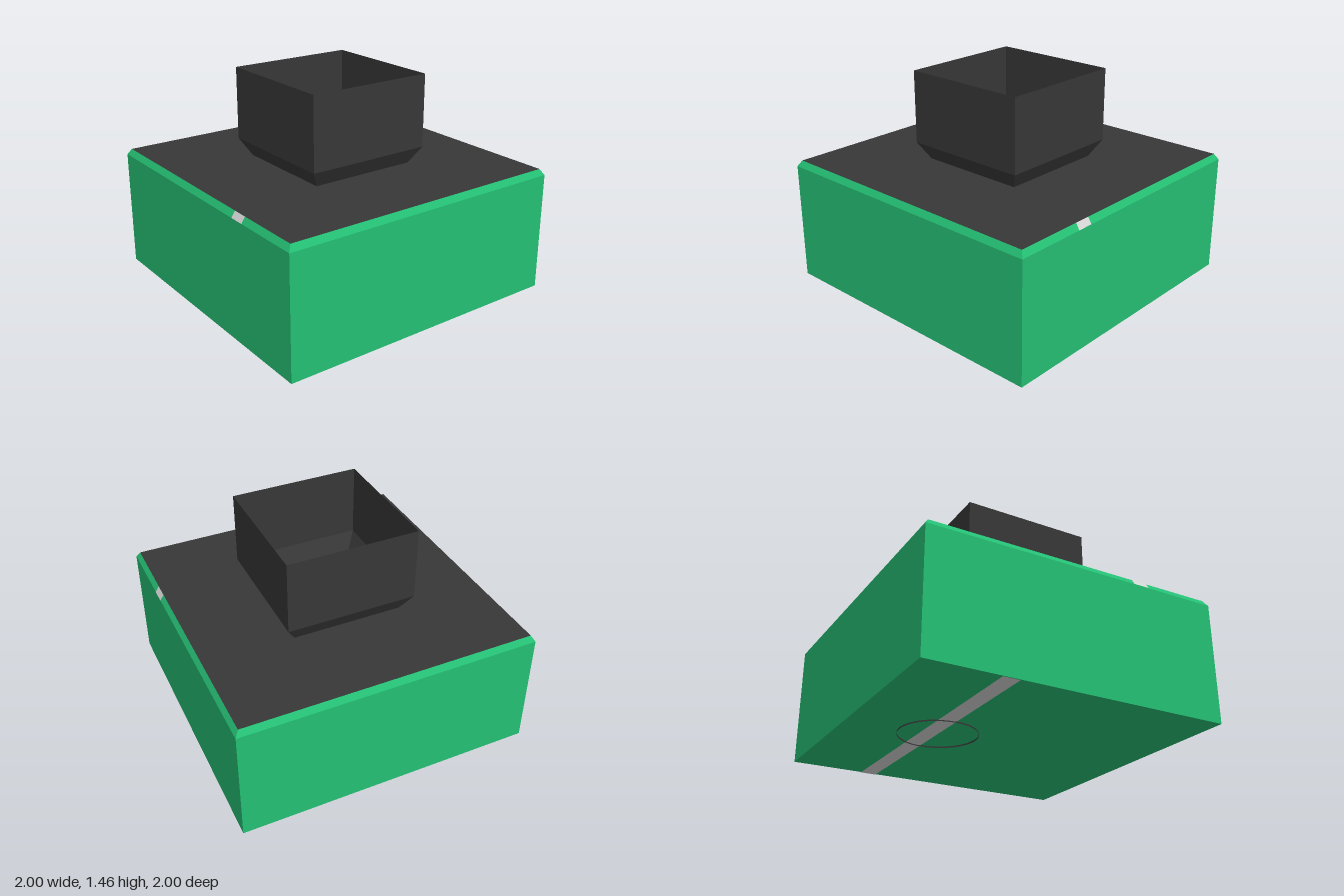
import * as THREE from 'three';

export function createModel() {
  const model = new THREE.Group();
  const mat = (name, color, side = THREE.FrontSide) => {
    const m = new THREE.MeshStandardMaterial({ color, side });
    m.name = name;
    return m;
  };
  const green = mat('green', 0x25c074);
  const dark = mat('charcoal', 0x373737, THREE.DoubleSide);
  const pale = mat('pale grey', 0xd6d6d6);
  const purple = mat('purple', 0x8a22d6);

  const add = (name, geometry, material, x = 0, y = 0, z = 0) => {
    const mesh = new THREE.Mesh(geometry, material);
    mesh.name = name;
    mesh.position.set(x, y, z);
    model.add(mesh);
    return mesh;
  };

  // Open square tube between two heights, given its half widths
  const squareTube = (name, low, high, y0, y1, material) => {
    const g = new THREE.CylinderGeometry(high * Math.SQRT2, low * Math.SQRT2, y1 - y0, 4, 1, true)
      .rotateY(Math.PI / 4).toNonIndexed();
    g.computeVertexNormals();
    return add(name, g, material, 0, (y0 + y1) / 2, 0);
  };

  // Box body, bevelled rim and dark inner lining
  squareTube('bodyWalls', 1, 1, 0.01, 0.81, green);
  squareTube('bevelledRim', 1, 0.975, 0.81, 0.85, green);
  squareTube('innerLining', 0.97, 0.97, 0.02, 0.845, dark);

  // Floor, green below and dark inside
  add('underside', new THREE.PlaneGeometry(2, 2).rotateX(Math.PI / 2), green, 0, 0.01, 0);
  add('innerFloor', new THREE.PlaneGeometry(1.98, 1.98).rotateX(-Math.PI / 2), dark, 0, 0.02, 0);
  add('undersideStripe', new THREE.PlaneGeometry(0.11, 2).rotateX(Math.PI / 2), pale, -0.465, 0.007, 0);

  // Lid with a square opening under the chute
  const square = (Type, h) => {
    const s = new Type();
    s.moveTo(-h, -h).lineTo(h, -h).lineTo(h, h).lineTo(-h, h).closePath();
    return s;
  };
  const lid = square(THREE.Shape, 0.975);
  lid.holes.push(square(THREE.Path, 0.37));
  add('lid', new THREE.ShapeGeometry(lid).rotateX(-Math.PI / 2), dark, 0, 0.85, 0);

  // Thin-walled chute
  squareTube('chuteNeck', 0.37, 0.437, 0.85, 0.965, dark);
  squareTube('chuteWalls', 0.437, 0.437, 0.965, 1.455, dark);

  // Pale marks on the front and back bevels
  const tilt = Math.atan2(0.025, 0.04);
  for (const s of [1, -1]) {
    const g = new THREE.PlaneGeometry(0.11, 0.047).rotateX(-tilt);
    if (s < 0) g.rotateY(Math.PI);
    add(s > 0 ? 'frontMark' : 'backMark', g, pale, 0.465, 0.831, s * 0.989);
  }

  // Contents: a dome, two blocks and a bead
  add('dome', new THREE.SphereGeometry(0.255, 48, 20, 0, Math.PI * 2, 0, Math.PI / 2), dark, -0.41, 0, 0);
  const block = new THREE.BoxGeometry(0.14, 0.14, 0.35);
  add('tiltedBlock', block, purple, 0.025, 0.195, -0.145).rotation.x = Math.PI / 4;
  add('flatBlock', block, purple, 0.463, 0.09, 0.105).rotation.y = Math.PI / 2 - 0.625;
  add('bead', new THREE.SphereGeometry(0.01, 12, 8), pale, 0, 0.15, 0);

  return model;
}
